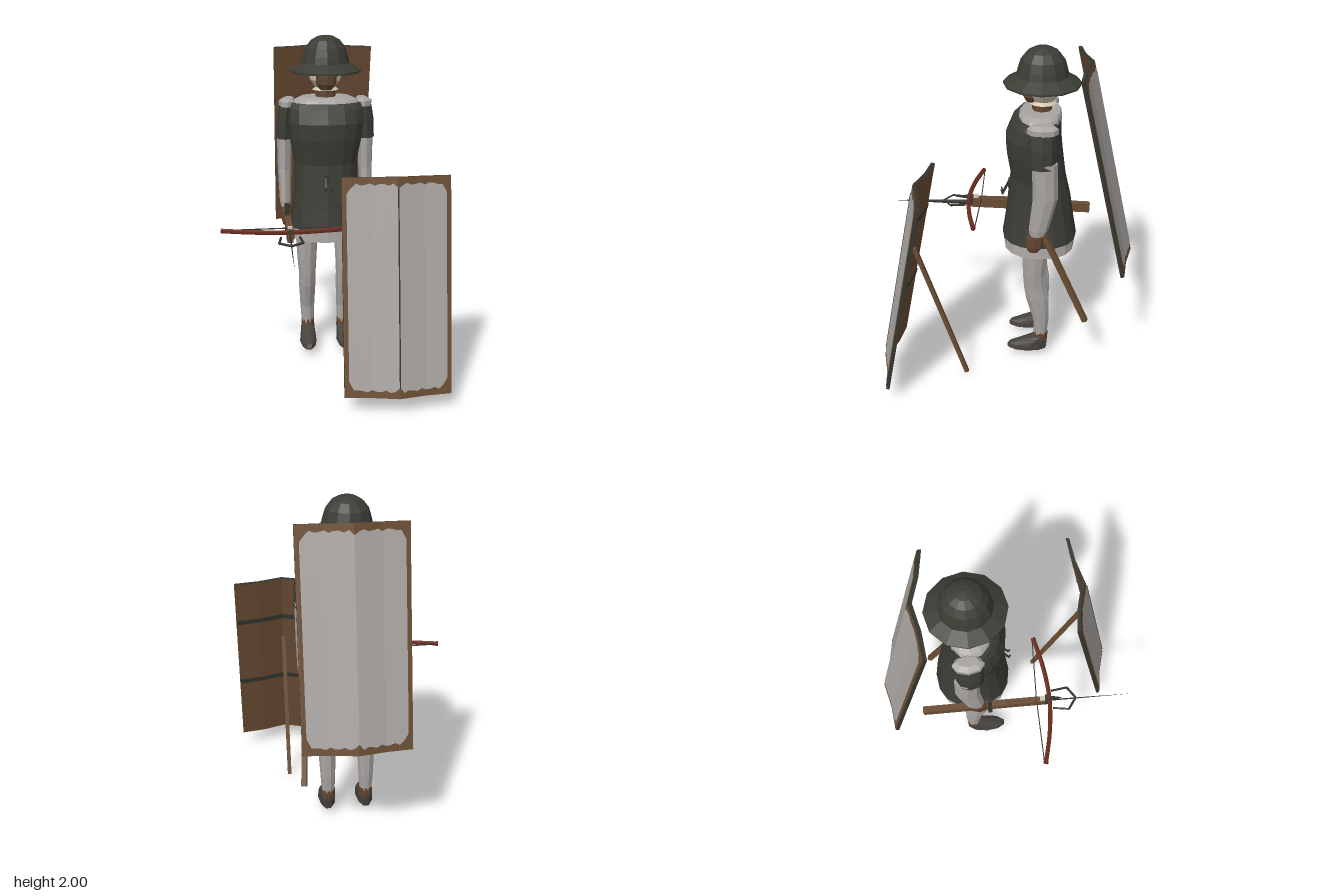
import * as THREE from 'three';

const mat = (name, color, extra = {}) =>
  Object.assign(new THREE.MeshStandardMaterial({ color, flatShading: true, ...extra }), { name });

export function createModel() {
  const M = {
    cloth: mat('dark green cloth', 0x3b3d35),
    linen: mat('grey linen', 0xa8a4a1),
    wood: mat('brown wood', 0x6a4d34),
    leather: mat('brown leather', 0x634631),
    cream: mat('cream coif', 0xcfc5b0),
    red: mat('red brown bow', 0x6a2b1f),
    iron: mat('dark iron', 0x34362f),
    shoe: mat('dark shoe leather', 0x45423c),
  };
  const root = new THREE.Group();

  const add = (parent, name, geo, m) => {
    const mesh = new THREE.Mesh(geo, m);
    mesh.name = name;
    parent.add(mesh);
    return mesh;
  };
  const build = (pos, idx) => {
    const g = new THREE.BufferGeometry();
    g.setAttribute('position', new THREE.Float32BufferAttribute(pos, 3));
    g.setIndex(idx);
    const flat = g.toNonIndexed();
    flat.computeVertexNormals();
    return flat;
  };
  // closed body through elliptical rings [cx, y, cz, rx, rz], bottom to top
  const loft = (rings, n = 10, pow = 1) => {
    const pos = [], idx = [];
    const sp = (v) => Math.sign(v) * Math.abs(v) ** pow;
    for (const [cx, y, cz, rx, rz] of rings)
      for (let j = 0; j < n; j++) {
        const a = (j / n) * Math.PI * 2;
        pos.push(cx + rx * sp(Math.cos(a)), y, cz + rz * sp(Math.sin(a)));
      }
    for (let i = 0; i < rings.length - 1; i++)
      for (let j = 0; j < n; j++) {
        const k = (j + 1) % n, a = i * n + j, b = i * n + k;
        idx.push(a, a + n, b, b, a + n, b + n);
      }
    const lo = rings[0], hi = rings[rings.length - 1];
    const c = rings.length * n, t = (rings.length - 1) * n;
    pos.push(lo[0], lo[1], lo[2], hi[0], hi[1], hi[2]);
    for (let j = 0; j < n; j++) {
      const k = (j + 1) % n;
      idx.push(c, j, k, c + 1, t + k, t + j);
    }
    return build(pos, idx);
  };
  // straight bar between two points
  const rod = (parent, name, a, b, r, m, n = 4, r2 = r) => {
    const A = new THREE.Vector3(...a), B = new THREE.Vector3(...b);
    const d = B.clone().sub(A);
    const g = new THREE.CylinderGeometry(r2, r, d.length(), n);
    if (n === 4) g.rotateY(Math.PI / 4);
    const mesh = add(parent, name, g, m);
    mesh.position.copy(A).addScaledVector(d, 0.5);
    mesh.quaternion.setFromUnitVectors(new THREE.Vector3(0, 1, 0), d.normalize());
    return mesh;
  };

  // ---- coat, collar and skirt
  add(root, 'coat', loft([
    [0, 0.85, -0.19, 0.222, 0.222], [0, 0.97, -0.188, 0.208, 0.202], [0, 1.1, -0.185, 0.197, 0.185],
    [0, 1.25, -0.175, 0.192, 0.16], [0, 1.4, -0.152, 0.218, 0.162],
    [0, 1.5, -0.145, 0.228, 0.158], [0, 1.58, -0.16, 0.225, 0.14], [0, 1.61, -0.175, 0.215, 0.125],
  ], 16, 0.85), M.cloth);
  add(root, 'collar', loft([
    [0, 1.6, -0.18, 0.212, 0.125], [0, 1.625, -0.185, 0.185, 0.117], [0, 1.64, -0.19, 0.15, 0.105],
  ], 14, 0.9), M.linen);
  add(root, 'shirtSkirt', loft([
    [0, 0.78, -0.19, 0.222, 0.212], [0, 0.86, -0.19, 0.21, 0.205],
  ], 16, 0.85), M.linen);

  // ---- head and hat
  add(root, 'neck', loft([[0, 1.58, -0.19, 0.062, 0.058], [0, 1.73, -0.19, 0.058, 0.055]], 8), M.leather);
  add(root, 'coif', loft([
    [0, 1.68, -0.195, 0.08, 0.08], [0, 1.695, -0.195, 0.06, 0.065], [0, 1.74, -0.195, 0.092, 0.095],
    [0, 1.79, -0.195, 0.1, 0.105], [0, 1.85, -0.19, 0.095, 0.1],
  ], 10), M.cream);
  add(root, 'face', loft([
    [0, 1.685, -0.14, 0.035, 0.04], [0, 1.72, -0.135, 0.06, 0.055],
    [0, 1.77, -0.135, 0.068, 0.058], [0, 1.83, -0.14, 0.065, 0.055],
  ], 8), M.leather);
  const hat = add(root, 'hat', new THREE.LatheGeometry([
    [0, 1.81], [0.12, 1.81], [0.212, 1.787], [0.213, 1.797], [0.142, 1.84], [0.133, 1.88],
    [0.118, 1.93], [0.085, 1.972], [0.045, 1.994], [0, 2],
  ].map((p) => new THREE.Vector2(...p)), 12), M.cloth);
  hat.position.z = -0.19;
  hat.scale.z = 1.03;

  // ---- arms and legs, mirrored
  for (const s of [1, -1]) {
    const side = s > 0 ? 'left' : 'right';
    add(root, side + 'Sleeve', loft([
      [s * 0.247, 1.39, -0.2, 0.052, 0.076], [s * 0.245, 1.5, -0.197, 0.05, 0.078], [s * 0.23, 1.61, -0.195, 0.045, 0.075],
    ], 8), M.cloth);
    add(root, side + 'Shoulder', loft([
      [s * 0.23, 1.585, -0.2, 0.05, 0.086], [s * 0.23, 1.615, -0.2, 0.05, 0.086], [s * 0.22, 1.632, -0.2, 0.03, 0.06],
    ], 8), M.linen);
    add(root, side + 'Forearm', loft([
      [s * 0.248, 0.96, -0.18, 0.03, 0.045], [s * 0.25, 1.0, -0.188, 0.034, 0.056],
      [s * 0.25, 1.2, -0.222, 0.042, 0.07], [s * 0.248, 1.42, -0.215, 0.046, 0.072],
    ], 8), M.linen);
    add(root, side + 'Hand', loft([
      [s * 0.243, 0.85, -0.16, 0.024, 0.03], [s * 0.243, 0.88, -0.165, 0.032, 0.05],
      [s * 0.245, 0.94, -0.17, 0.032, 0.052], [s * 0.248, 0.985, -0.18, 0.026, 0.038],
    ], 8), M.leather);
    add(root, side + 'Leg', loft([
      [s * 0.115, 0.14, -0.212, 0.038, 0.04], [s * 0.117, 0.28, -0.213, 0.045, 0.05],
      [s * 0.118, 0.44, -0.188, 0.053, 0.073], [s * 0.118, 0.52, -0.175, 0.053, 0.072],
      [s * 0.12, 0.62, -0.165, 0.06, 0.07], [s * 0.12, 0.8, -0.17, 0.07, 0.083],
    ], 10), M.linen);
    add(root, side + 'Cuff', loft([
      [s * 0.115, 0.12, -0.212, 0.043, 0.045], [s * 0.115, 0.185, -0.213, 0.041, 0.044],
    ], 8), M.leather);
    add(root, side + 'Shoe', loft([
      [s * 0.118, 0.062, -0.127, 0.053, 0.128], [s * 0.118, 0.085, -0.135, 0.051, 0.122],
      [s * 0.117, 0.12, -0.18, 0.045, 0.078], [s * 0.115, 0.145, -0.21, 0.042, 0.046],
    ], 10), M.shoe);
    add(root, side + 'Sole', loft([
      [s * 0.118, 0.052, -0.127, 0.048, 0.122], [s * 0.118, 0.064, -0.127, 0.054, 0.129],
    ], 10), M.leather);
    // twin prongs of the spanning hook
    rod(root, 'hookProng', [s * 0.014, 1.18, -0.005], [s * 0.018, 1.1, 0.032], 0.006, M.iron);
    rod(root, 'hookTip', [s * 0.018, 1.1, 0.032], [s * 0.018, 1.13, 0.04], 0.005, M.iron);
  }
  add(root, 'hookPlate', new THREE.BoxGeometry(0.04, 0.05, 0.02), M.iron).position.set(0, 1.17, -0.012);
  rod(root, 'handStick', [0.24, 0.98, -0.21], [0.28, 0.39, -0.48], 0.021, M.wood);

  // ---- folded tall shields
  const H = 1.22;
  const depth = (x) => {
    const a = Math.abs(x);
    return a < 0.15 ? 0.06 - (0.04 * a) / 0.15 : (0.02 * (0.3 - a)) / 0.15;
  };
  // sheet following the fold, between bottom(x) and top(x)
  const sheet = (half, bottom, top, off, flip) => {
    const pos = [], idx = [], n = Math.round((half * 2) / 0.025);
    for (let i = 0; i <= n; i++) {
      const x = -half + i * 0.025, z = depth(x) + off;
      pos.push(x, bottom(x, i), z, x, top(x, i), z);
      if (i < n) {
        const a = i * 2;
        idx.push(...(flip ? [a, a + 3, a + 2, a, a + 1, a + 3] : [a, a + 2, a + 3, a, a + 3, a + 1]));
      }
    }
    return build(pos, idx);
  };
  const xs = [-0.3, -0.15, 0, 0.15, 0.3];
  const outline = [
    ...xs.map((x) => new THREE.Vector2(x, -depth(x))),
    ...[...xs].reverse().map((x) => new THREE.Vector2(x, -depth(x) - 0.02)),
  ];
  const makeShield = (name) => {
    const g = new THREE.Group();
    g.name = name;
    const core = new THREE.ExtrudeGeometry(new THREE.Shape(outline), { depth: H, bevelEnabled: false });
    core.rotateX(-Math.PI / 2).translate(0, -H / 2, 0);
    add(g, 'shieldEdge', core, M.iron);
    const lo = () => -H / 2, hi = () => H / 2;
    add(g, 'shieldRim', sheet(0.3, lo, hi, 0.022, false), M.wood);
    add(g, 'shieldBack', sheet(0.3, lo, hi, -0.002, true), M.wood);
    // worn canvas with rounded corners and an uneven edge
    const inset = (x, i) => 0.04 + 0.007 * Math.sin(i * 2.3) + (Math.abs(x) > 0.27 ? 0.05 : Math.abs(x) > 0.24 ? 0.012 : 0)
      + (Math.abs(x) < 0.01 ? 0.02 : 0);
    add(g, 'shieldCanvas', sheet(0.275, (x, i) => -H / 2 + inset(x, i + 1), (x, i) => H / 2 - inset(x, i), 0.025, false), M.linen);
    root.add(g);
    return g;
  };
  const standing = makeShield('standingShield');
  standing.position.set(0.33, 0.7, 0.545);
  standing.rotation.x = -0.197;
  add(standing, 'centreSeam', new THREE.BoxGeometry(0.007, 1.1, 0.006), M.iron).position.z = 0.084;
  for (const y of [0.33, -0.146])
    add(standing, 'strap', sheet(0.3, () => y - 0.016, () => y + 0.016, -0.006, true), M.iron);
  rod(root, 'shieldProp', [0.33, 0.9, 0.52], [0.33, 0.008, 0.238], 0.017, M.wood);

  const carried = makeShield('carriedShield');
  carried.position.set(0, 1.3125, -0.53);
  carried.rotation.order = 'YXZ';
  carried.rotation.set(-0.232, Math.PI, 0);

  // ---- crossbow
  const bow = new THREE.Group();
  bow.name = 'crossbow';
  bow.position.set(-0.24, 0.9, 0);
  root.add(bow);
  const tiller = add(bow, 'tiller', new THREE.BoxGeometry(0.036, 0.06, 0.77), M.wood);
  tiller.position.set(0, -0.003, -0.115);
  tiller.rotation.x = -0.025;
  const spike = add(bow, 'spike', new THREE.CylinderGeometry(0, 0.024, 0.7, 4).rotateX(Math.PI / 2), M.iron);
  spike.position.set(0, 0, 0.41);
  spike.scale.x = 0.3;
  const curve = new THREE.CatmullRomCurve3(
    [[-0.39, 0.198], [-0.2, 0.24], [0, 0.258], [0.2, 0.24], [0.39, 0.198]].map(([x, z]) => new THREE.Vector3(x, 0.035, z)));
  add(bow, 'bowLimbs', new THREE.TubeGeometry(curve, 16, 0.014, 6), M.red);
  for (const s of [1, -1]) {
    rod(bow, 'bowTip', [s * 0.38, 0.035, 0.2], [s * 0.393, 0.035, 0.196], 0.015, M.red, 6);
    rod(bow, 'string', [s * 0.388, 0.035, 0.19], [0, 0.035, 0.18], 0.004, M.iron);
    rod(bow, 'stirrupArm', [s * 0.054, 0.01, 0.275], [s * 0.068, 0.01, 0.37], 0.007, M.iron);
    rod(bow, 'stirrupFront', [s * 0.068, 0.01, 0.37], [0, 0.01, 0.418], 0.007, M.iron);
  }
  add(bow, 'lashing', new THREE.BoxGeometry(0.045, 0.05, 0.035), M.iron).position.set(0, 0.02, 0.25);
  add(bow, 'nut', new THREE.BoxGeometry(0.025, 0.035, 0.03), M.cream).position.set(0, 0.038, 0.215);
  rod(bow, 'bolt', [0, 0.04, 0.0], [0, 0.04, 0.29], 0.007, M.wood);
  rod(bow, 'boltHead', [0, 0.04, 0.27], [0, 0.035, 0.335], 0.014, M.iron, 4, 0.001);
  add(bow, 'trigger', new THREE.BoxGeometry(0.03, 0.2, 0.025), M.iron).position.set(-0.003, 0.0, -0.1);

  return root;
}
